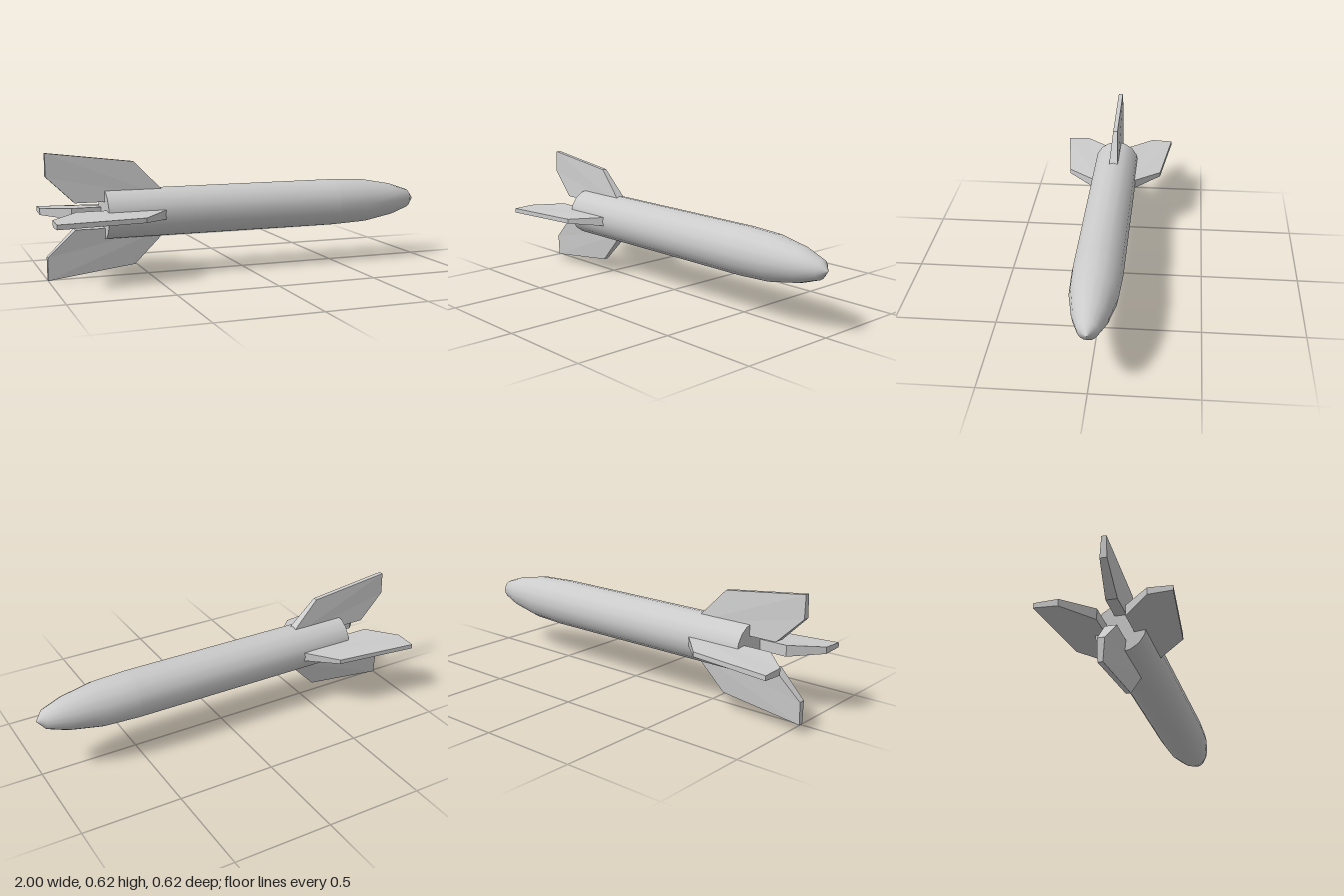
import * as THREE from 'three';

const AXIS_Y = 0.308; // height of the body's long axis
const RADIUS = 0.122;
const SIDES = 16;
const TAIL_X = -0.72;

// Fin outline as [x along body, distance from axis]
const FIN = [[-0.385, 0.065], [-0.57, 0.255], [-1, 0.308], [-1, 0.195], [-0.865, 0.065]];

// Flat fin plate that thins from root to tip
function finGeometry() {
  const shape = new THREE.Shape(FIN.map(([x, r]) => new THREE.Vector2(x, r)));
  const geo = new THREE.ExtrudeGeometry(shape, { depth: 2, bevelEnabled: false });
  geo.translate(0, 0, -1);
  const pos = geo.attributes.position;
  for (let i = 0; i < pos.count; i++) {
    const t = THREE.MathUtils.clamp((pos.getY(i) - 0.065) / 0.19, 0, 1);
    pos.setZ(i, Math.sign(pos.getZ(i)) * THREE.MathUtils.lerp(0.0275, 0.0118, t));
  }
  geo.computeVertexNormals();
  return geo;
}

export function createModel() {
  const model = new THREE.Group();
  model.name = 'rocket';
  const material = new THREE.MeshStandardMaterial({ color: 0xcccccc });
  const add = (name, geometry) => {
    const mesh = new THREE.Mesh(geometry, material);
    mesh.name = name;
    mesh.position.y = AXIS_Y;
    model.add(mesh);
    return mesh;
  };

  // Straight body
  const body = new THREE.CylinderGeometry(RADIUS, RADIUS, 0.51 - TAIL_X, SIDES, 1, true);
  body.rotateZ(-Math.PI / 2).translate((0.51 + TAIL_X) / 2, 0, 0);
  add('body', body);

  // Rounded nose
  const profile = [[RADIUS, 0.51], [0.114, 0.69], [0.084, 0.855], [0.048, 0.96], [0, 1]];
  const nose = new THREE.LatheGeometry(profile.map(([r, x]) => new THREE.Vector2(r, x)), SIDES);
  add('nose', nose.rotateZ(-Math.PI / 2));

  // Flat tail end
  const tail = new THREE.CircleGeometry(RADIUS, SIDES);
  add('tailCap', tail.rotateY(-Math.PI / 2).translate(TAIL_X, 0, 0));

  // Four fins around the tail
  const fin = finGeometry();
  ['topFin', 'frontFin', 'bottomFin', 'backFin'].forEach((name, i) => {
    add(name, fin).rotation.x = i * Math.PI / 2;
  });

  return model;
}
